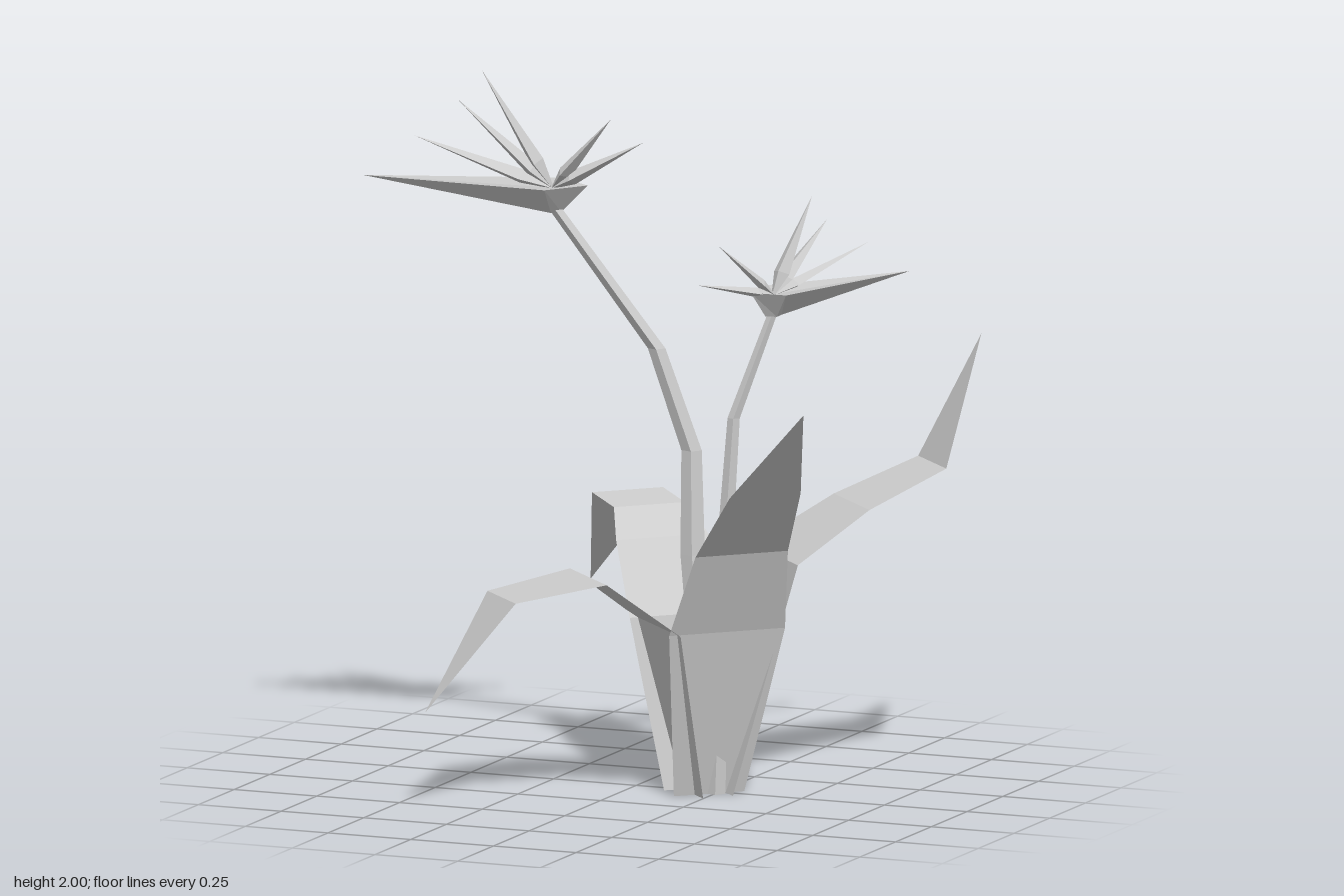
import * as THREE from 'three';

const material = new THREE.MeshStandardMaterial({
  color: 0xcccccc, flatShading: true, side: THREE.DoubleSide,
});
const V = (a) => new THREE.Vector3(...a);
const UP = new THREE.Vector3(0, 1, 0);

// Skins a list of equally long rings of points; closed wraps each ring
function loft(name, rings, closed) {
  const n = rings[0].length, pos = [], idx = [];
  rings.forEach((ring) => ring.forEach((p) => pos.push(p.x, p.y, p.z)));
  for (let r = 0; r + 1 < rings.length; r++) {
    for (let i = 0; i < (closed ? n : n - 1); i++) {
      const j = (i + 1) % n, a = r * n + i, b = r * n + j;
      if (!rings[r][i].equals(rings[r][j])) idx.push(a, b + n, b);
      if (!rings[r + 1][i].equals(rings[r + 1][j])) idx.push(a, a + n, b + n);
    }
  }
  const g = new THREE.BufferGeometry();
  g.setAttribute('position', new THREE.Float32BufferAttribute(pos, 3));
  g.setIndex(idx);
  g.computeVertexNormals();
  const mesh = new THREE.Mesh(g, material);
  mesh.name = name;
  return mesh;
}

// Flat folded leaf: sections are [x, y, z, half width], laid across the heading
function leaf(name, sx, sz, sections) {
  const across = new THREE.Vector3(-sz, 0, sx).normalize();
  return loft(name, sections.map(([x, y, z, w]) => [-w, w].map(
    (d) => V([x, y, z]).addScaledVector(across, d))), false);
}

// Tapering five-sided stem through [x, y, z, radius]
function stem(name, sections) {
  return loft(name, sections.map(([x, y, z, r]) => Array.from({ length: 5 }, (_, i) => {
    const a = (i / 5) * Math.PI * 2;
    return new THREE.Vector3(x + r * Math.cos(a), y, z + r * Math.sin(a));
  })), true);
}

// Slender pointed petal, widest close to its root
function petal(root, tip, width) {
  const dir = tip.clone().sub(root).normalize();
  const side = dir.clone().cross(UP).normalize();
  const lift = side.clone().cross(dir);
  const ring = (t, w) => [[1, 0], [0, 0.4], [-1, 0], [0, -0.4]].map(([s, l]) =>
    root.clone().lerp(tip, t).addScaledVector(side, s * w).addScaledVector(lift, l * w));
  return loft('petal', [ring(0, 0.008), ring(0.22, width), ring(1, 0)], true);
}

// Flower head: boat-shaped sheath below a fan of petals
function flower(name, { base, beak, width, back, depth, petals, petalWidth }) {
  const group = new THREE.Group();
  group.name = name;
  const foot = V(base), tip = V(beak);
  const heading = tip.clone().sub(foot).setY(0).normalize();
  const side = heading.clone().cross(UP);
  const ring = (center, f, s, b) => [
    center.clone().addScaledVector(heading, f),
    center.clone().addScaledVector(side, s),
    center.clone().addScaledVector(heading, -b),
    center.clone().addScaledVector(side, -s),
  ];
  const rimCenter = foot.clone().setY(foot.y + depth);
  const rim = ring(rimCenter, 0, width, back);
  rim[0] = tip;
  const inner = rimCenter.clone().setY(rimCenter.y - 0.01);
  group.add(loft('sheath', [
    ring(foot, 0.025, 0.022, 0.025), rim, rim.map(() => inner.clone()),
  ], true));
  petals.forEach((p) => group.add(petal(inner, V(p), petalWidth)));
  return group;
}

export function createModel() {
  const model = new THREE.Group();
  model.name = 'floweringPlant';

  // Four leaves fanning out diagonally
  model.add(
    leaf('backLeftLeaf', 1, -1, [
      [0.235, 0, -0.035, 0.105], [0.35, 0.65, -0.16, 0.173],
      [0.515, 0.785, -0.315, 0.135], [0.678, 0.877, -0.502, 0.106], [0.78, 1.23, -0.61, 0],
    ]),
    leaf('frontRightLeaf', -1, 1, [
      [0.175, 0, 0.035, 0.105], [0.11, 0.475, 0.105, 0.173],
      [-0.035, 0.63, 0.255, 0.138], [-0.218, 0.59, 0.438, 0.106], [-0.377, 0.28, 0.607, 0],
    ]),
    leaf('frontLeftLeaf', 1, 1, [
      [0.235, 0, 0.035, 0.105], [0.32, 0.475, 0.105, 0.173],
      [0.39, 0.71, 0.165, 0.138], [0.515, 0.905, 0.29, 0.106], [0.715, 1.18, 0.485, 0],
    ]),
    leaf('backRightLeaf', -1, -1, [
      [0.175, 0, -0.035, 0.105], [0.11, 0.475, -0.105, 0.173], [-0.012, 0.665, -0.21, 0.138],
      [-0.09, 0.735, -0.3, 0.106], [-0.193, 0.755, -0.385, 0.106], [-0.38, 0.46, -0.56, 0],
    ]),
  );

  // Two flower stems
  model.add(
    stem('tallStem', [
      [0.215, 0, -0.03, 0.035], [0.135, 0.65, -0.085, 0.036], [0.125, 0.94, -0.1, 0.03],
      [0.03, 1.225, -0.075, 0.026], [-0.24, 1.62, 0.018, 0.02],
    ]),
    stem('shortStem', [
      [0.25, 0, 0.02, 0.028], [0.27, 0.65, 0.012, 0.024],
      [0.295, 1.06, 0, 0.018], [0.395, 1.36, -0.045, 0.014],
    ]),
  );

  // Flower heads
  model.add(
    flower('tallFlower', {
      base: [-0.245, 1.605, 0.018], beak: [-0.78, 1.685, 0.11],
      width: 0.1, back: 0.1, depth: 0.078, petalWidth: 0.05,
      petals: [[-0.44, 2, 0.065], [-0.5, 1.915, 0.09], [-0.635, 1.805, 0.09],
        [-0.075, 1.875, 0.005], [0.008, 1.81, -0.03]],
    }),
    flower('shortFlower', {
      base: [0.395, 1.348, -0.045], beak: [0.67, 1.44, -0.365],
      width: 0.08, back: 0.07, depth: 0.07, petalWidth: 0.034,
      petals: [[0.46, 1.67, -0.165], [0.487, 1.6, -0.21], [0.582, 1.53, -0.275],
        [0.272, 1.55, 0.05], [0.235, 1.45, 0.12]],
    }),
  );
  return model;
}
